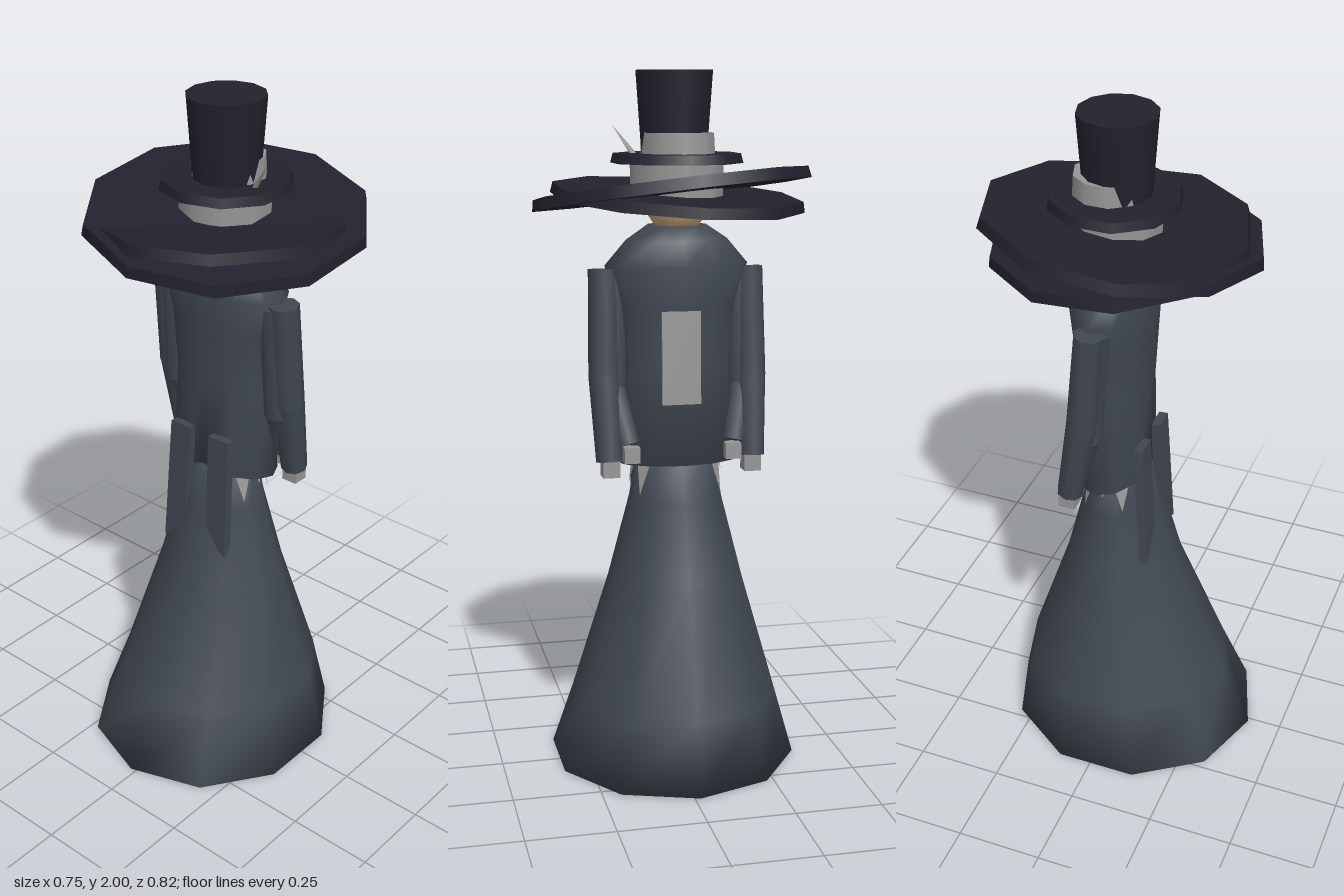
import * as THREE from 'three';

const mat = (name, color, side = THREE.FrontSide) => {
  const m = new THREE.MeshStandardMaterial({ color, side });
  m.name = name;
  return m;
};

export function createModel() {
  const coat = mat('slate cloth', 0x404751);
  const felt = mat('dark felt', 0x22212d);
  const grey = mat('pale grey', 0x969696, THREE.DoubleSide);
  const skin = mat('skin', 0xd0a57c);
  const root = new THREE.Group();
  const CX = -0.015;

  const add = (name, geo, material, x = 0, y = 0, z = 0, rx = 0, ry = 0, rz = 0) => {
    const m = new THREE.Mesh(geo, material);
    m.name = name;
    m.position.set(x, y, z);
    m.rotation.set(rx, ry, rz);
    root.add(m);
    return m;
  };

  // Smooth closed loft of elliptical rings: [y, half width, front z, back z]
  const loft = (rings, sides) => {
    const pos = [], idx = [];
    for (const [y, w, f, b] of rings) {
      for (let i = 0; i < sides; i++) {
        const a = (i / sides) * Math.PI * 2;
        pos.push(CX + Math.sin(a) * w, y, (f + b) / 2 + Math.cos(a) * (f - b) / 2);
      }
    }
    for (let r = 0; r < rings.length - 1; r++) {
      for (let i = 0; i < sides; i++) {
        const j = (i + 1) % sides, a = r * sides, b = a + sides;
        idx.push(a + i, a + j, b + j, a + i, b + j, b + i);
      }
    }
    const top = (rings.length - 1) * sides;
    for (let i = 1; i < sides - 1; i++) {
      idx.push(0, i + 1, i, top, top + i, top + i + 1);
    }
    const g = new THREE.BufferGeometry();
    g.setAttribute('position', new THREE.Float32BufferAttribute(pos, 3));
    g.setIndex(idx);
    g.computeVertexNormals();
    return g;
  };

  // Long flared skirt
  add('skirt', loft([
    [0.003, 0.362, 0.4, -0.36],
    [0.2, 0.302, 0.31, -0.32],
    [0.56, 0.197, 0.155, -0.2],
    [0.8, 0.135, 0.09, -0.14],
    [0.93, 0.115, 0.06, -0.115],
  ], 10), coat);

  // Coat body with sloped shoulders
  add('coatBody', loft([
    [0.91, 0.178, 0.06, -0.14],
    [1.2, 0.158, 0.06, -0.14],
    [1.36, 0.172, 0.068, -0.148],
    [1.47, 0.205, 0.07, -0.152],
    [1.54, 0.145, 0.055, -0.14],
    [1.58, 0.085, 0.035, -0.115],
  ], 12), coat);

  // Ragged shirt hem showing at both hips
  for (const s of [-1, 1]) {
    const pos = [];
    const point = (a, y) => {
      const t = (0.93 - y) / 0.13;
      const w = 0.125 + 0.02 * t, d = 0.098 + 0.028 * t;
      pos.push(CX + s * Math.cos(a) * w, y, -0.027 + Math.sin(a) * d);
    };
    [0.82, 0.87, 0.83].forEach((tip, k) => {
      const a = -0.85 + k * 0.52;
      point(a, 0.93); point(a + 0.26, tip); point(a + 0.52, 0.93);
    });
    const g = new THREE.BufferGeometry();
    g.setAttribute('position', new THREE.Float32BufferAttribute(pos, 3));
    g.computeVertexNormals();
    add('raggedHem', g, grey);
  }

  // Two notched sash tails hanging at the front
  for (const [x, lean] of [[-0.085, -0.025], [0.055, 0.01]]) {
    const s = new THREE.Shape();
    s.moveTo(-0.036, 0);
    s.lineTo(-0.036 + lean * 0.5, -0.385);
    s.lineTo(lean * 0.5, -0.355);
    s.lineTo(0.036 + lean * 0.5, -0.37);
    s.lineTo(0.036, 0);
    const g = new THREE.ExtrudeGeometry(s, { depth: 0.026, bevelEnabled: false });
    add('sashTail', g, coat, x, 1.037, 0.05, -0.06);
  }

  // Patch on the back
  add('backPatch', new THREE.BoxGeometry(0.11, 0.26, 0.008), grey, -0.005, 1.22, -0.15, 0.03);

  // Shoe soles under the hem
  for (const x of [0.06, 0.19]) {
    const sole = add('shoeSole', new THREE.CylinderGeometry(0.04, 0.04, 0.003, 8), grey, x, 0.0015, -0.22);
    sole.scale.z = 1.2;
  }

  // Tapered limb between two points
  const limb = (name, a, b, ra, rb) => {
    const A = new THREE.Vector3(...a), B = new THREE.Vector3(...b);
    const dir = A.clone().sub(B);
    const m = add(name, new THREE.CylinderGeometry(ra, rb, dir.length(), 8), coat);
    m.position.copy(A).add(B).multiplyScalar(0.5);
    m.quaternion.setFromUnitVectors(new THREE.Vector3(0, 1, 0), dir.normalize());
  };

  // Two pairs of arms
  for (const s of [-1, 1]) {
    const p = (x, y, z) => [CX + s * x, y, z];
    limb('outerUpperArm', p(0.208, 1.46, -0.036), p(0.212, 1.15, -0.062), 0.043, 0.045);
    limb('outerForearm', p(0.212, 1.17, -0.06), p(0.206, 0.925, -0.102), 0.045, 0.038);
    add('outerHand', new THREE.BoxGeometry(0.048, 0.05, 0.048), grey, CX + s * 0.204, 0.908, -0.105);
    limb('innerUpperArm', p(0.178, 1.45, -0.03), p(0.186, 1.11, -0.05), 0.04, 0.04);
    limb('innerForearm', p(0.186, 1.13, -0.05), p(0.15, 0.97, -0.1), 0.038, 0.034);
    add('innerHand', new THREE.BoxGeometry(0.045, 0.045, 0.045), grey, CX + s * 0.146, 0.945, -0.112);
  }

  // Head, mostly under the hat
  add('head', new THREE.SphereGeometry(0.088, 12, 8), skin, CX, 1.64, -0.045);

  // Two wide brims tilted against each other
  add('upperBrim', new THREE.CylinderGeometry(0.388, 0.394, 0.032, 10), felt, 0, 1.677, -0.025, 0.11, 0, -0.1);
  add('lowerBrim', new THREE.CylinderGeometry(0.352, 0.358, 0.03, 10), felt, -0.02, 1.655, -0.025, -0.06, 0, 0.06);

  // Small brim, bands and crown
  add('innerBand', new THREE.CylinderGeometry(0.13, 0.13, 0.1, 10), grey, CX, 1.698, -0.04);
  add('smallBrim', new THREE.CylinderGeometry(0.178, 0.185, 0.026, 10), felt, CX, 1.763, -0.042);
  add('hatBand', new THREE.CylinderGeometry(0.1, 0.104, 0.065, 10), grey, CX, 1.8, -0.055);
  add('crown', new THREE.CylinderGeometry(0.109, 0.092, 0.24, 12), felt, -0.01, 1.88, -0.036);

  // Feather stuck in the hat band
  const feather = add('feather', new THREE.ConeGeometry(0.009, 0.11, 4), grey, 0.128, 1.81, -0.01);
  feather.quaternion.setFromUnitVectors(
    new THREE.Vector3(0, 1, 0), new THREE.Vector3(0.06, 0.085, 0.02).normalize());

  return root;
}
